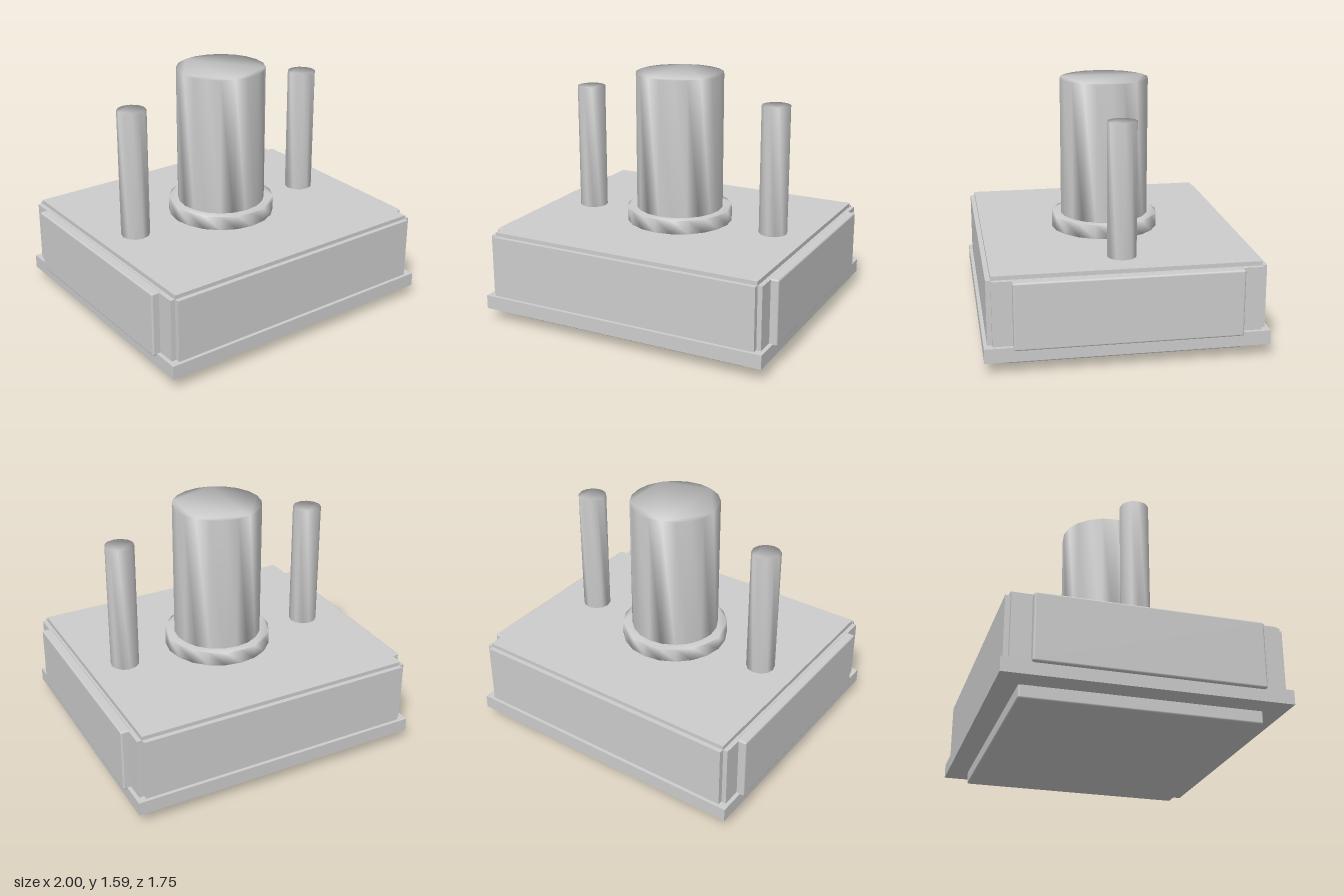
import * as THREE from 'three';
import { mergeVertices } from 'three/addons/utils/BufferGeometryUtils.js';
import { RoundedBoxGeometry } from 'three/addons/geometries/RoundedBoxGeometry.js';

export function createModel() {
  const model = new THREE.Group();
  model.name = 'pinnedBlock';
  const grey = new THREE.MeshStandardMaterial({ color: 0xcccccc });
  grey.name = 'light grey';

  const add = (name, geometry, x, y, z) => {
    const mesh = new THREE.Mesh(geometry, grey);
    mesh.name = name;
    mesh.position.set(x, y, z);
    model.add(mesh);
  };

  // Box given by its size and its bottom and top heights; a bevel softens the edges
  const box = (name, width, depth, bottom, top, x = 0, z = 0, bevel = 0) => {
    const h = top - bottom;
    const geometry = bevel
      ? new RoundedBoxGeometry(width, h, depth, 2, bevel)
      : new THREE.BoxGeometry(width, h, depth);
    add(name, geometry, x, (bottom + top) / 2, z);
  };

  // Solid round column with normals shared between the wall and the end caps
  const column = (name, radius, sides, bottom, top, x = 0) => {
    const points = [];
    for (let i = 0; i < sides; i++) {
      const a = (i / sides) * Math.PI * 2;
      points.push(new THREE.Vector2(Math.cos(a) * radius, Math.sin(a) * radius));
    }
    let geometry = new THREE.ExtrudeGeometry(new THREE.Shape(points), { depth: top - bottom, bevelEnabled: false });
    geometry.rotateX(-Math.PI / 2);
    geometry.deleteAttribute('normal');
    geometry.deleteAttribute('uv');
    geometry = mergeVertices(geometry, 1e-4);
    geometry.clearGroups();
    geometry.computeVertexNormals();
    add(name, geometry, x, bottom, 0);
  };

  // Base: foot pad, flange and main block
  box('footPad', 1.645, 1.475, 0, 0.09, 0, 0, 0.012);
  box('baseFlange', 1.95, 1.745, 0.08, 0.17);
  box('mainBlock', 1.835, 1.64, 0.17, 0.6);

  // Raised wall panels that leave notched corners
  for (const s of [1, -1]) {
    box(s > 0 ? 'frontPanel' : 'backPanel', 1.835, 0.03, 0.17, 0.575, 0, s * 0.835);
    box(s > 0 ? 'leftPanel' : 'rightPanel', 0.03, 1.64, 0.17, 0.575, s * 0.935, 0);
    box(s > 0 ? 'leftSidePlate' : 'rightSidePlate', 0.07, 1.395, 0.155, 0.578, s * 0.965, 0, 0.012);
    column(s > 0 ? 'leftPost' : 'rightPost', 0.093, 12, 0.6, 1.44, s * 0.675);
  }

  // Central column standing in its collar
  column('collar', 0.35, 20, 0.6, 0.69);
  column('centralColumn', 0.288, 20, 0.6, 1.59);

  return model;
}
